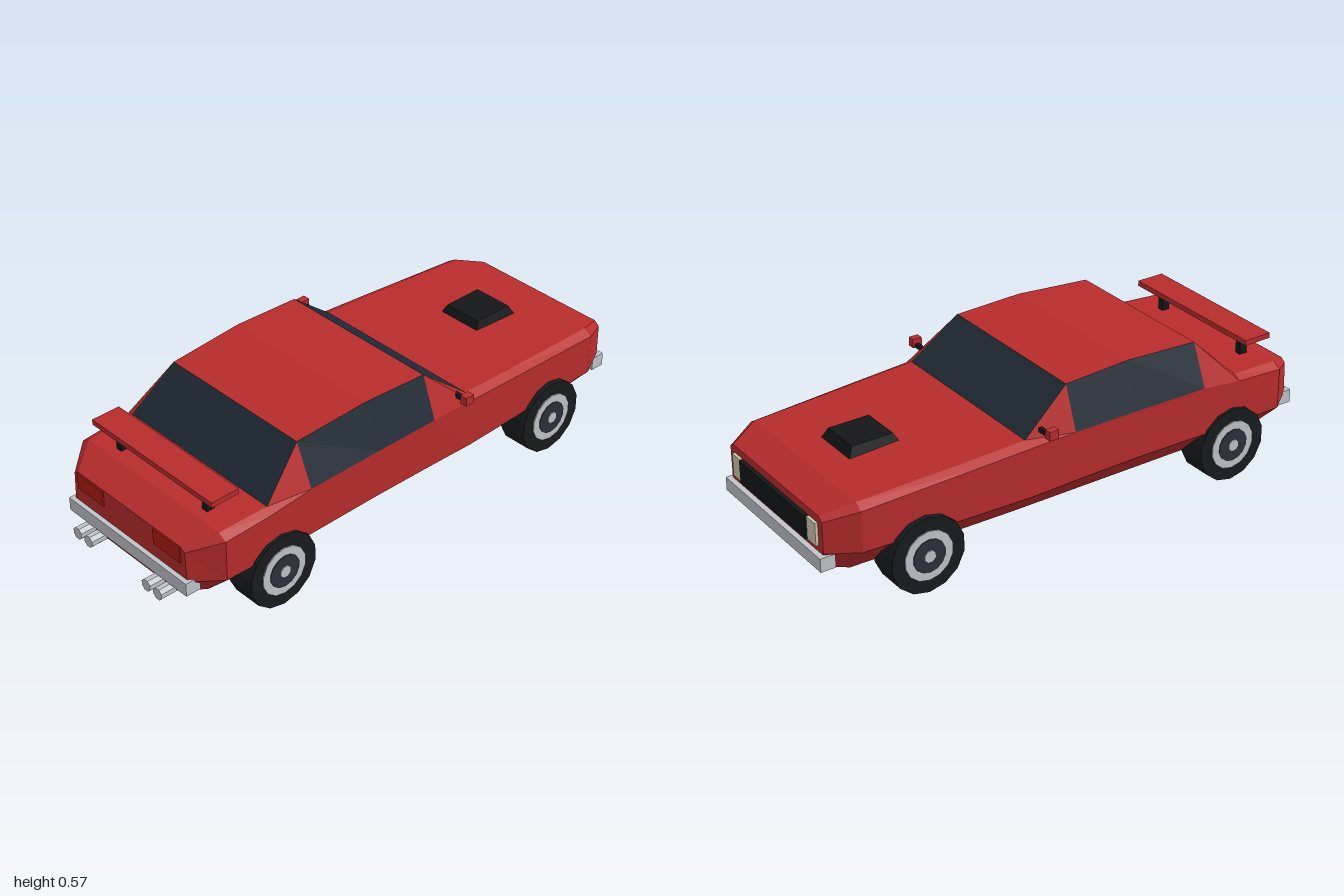
import * as THREE from 'three';

const mat = (color) => new THREE.MeshStandardMaterial({ color, flatShading: true });

// Body sections: z, then x,y of floor edge, crease, shoulder and top edge
const SECTIONS = [
  [-0.98, 0.24, 0.145, 0.30, 0.22, 0.30, 0.335, 0.28, 0.35],
  [-0.87, 0.27, 0.115, 0.357, 0.215, 0.357, 0.365, 0.325, 0.385],
  [-0.45, 0.27, 0.108, 0.372, 0.212, 0.372, 0.385, 0.34, 0.402],
  [-0.24, 0.27, 0.105, 0.377, 0.21, 0.378, 0.395, 0.345, 0.412],
  [-0.06, 0.27, 0.105, 0.378, 0.215, 0.38, 0.4, 0.322, 0.555],
  [0.2, 0.27, 0.105, 0.378, 0.218, 0.38, 0.4, 0.318, 0.565],
  [0.49, 0.27, 0.105, 0.375, 0.212, 0.377, 0.395, 0.31, 0.546],
  [0.65, 0.27, 0.105, 0.372, 0.21, 0.374, 0.375, 0.345, 0.39],
  [0.84, 0.265, 0.11, 0.368, 0.21, 0.368, 0.362, 0.335, 0.382],
  [0.94, 0.23, 0.142, 0.29, 0.21, 0.285, 0.325, 0.265, 0.338],
];

// Loft the sections, sorting the faces into paint, glass and floor
function buildBody(group, mats) {
  const rings = SECTIONS.map(([z, ...p]) => {
    const half = [0, 2, 4, 6].map((k) => [p[k], p[k + 1], z]);
    return [...half, ...half.slice().reverse().map(([x, y]) => [-x, y, z])];
  });
  const faces = { paint: [], glass: [], floor: [] };
  const kind = (s, i) => {
    if (i === 7) return 'floor';
    if (i === 3 && (s === 3 || s === 6)) return 'glass';
    if ((i === 2 || i === 4) && (s === 4 || s === 5)) return 'glass';
    return 'paint';
  };
  for (let s = 0; s < rings.length - 1; s++) {
    for (let i = 0; i < 8; i++) {
      const j = (i + 1) % 8;
      const a = rings[s][i], b = rings[s][j], c = rings[s + 1][j], d = rings[s + 1][i];
      faces[kind(s, i)].push(...a, ...b, ...c, ...a, ...c, ...d);
    }
  }
  const nose = rings[0], tail = rings[rings.length - 1];
  for (let i = 1; i < 7; i++) {
    faces.paint.push(...nose[0], ...nose[i + 1], ...nose[i]);
    faces.paint.push(...tail[0], ...tail[i], ...tail[i + 1]);
  }
  const parts = { paint: ['body', mats.red], glass: ['windows', mats.glass], floor: ['floor', mats.black] };
  for (const key in parts) {
    const geo = new THREE.BufferGeometry();
    geo.setAttribute('position', new THREE.Float32BufferAttribute(faces[key], 3));
    geo.computeVertexNormals();
    const mesh = new THREE.Mesh(geo, parts[key][1]);
    mesh.name = parts[key][0];
    group.add(mesh);
  }
}

export function createModel() {
  const car = new THREE.Group();
  car.name = 'car';
  const mats = {
    red: mat(0xb82c2c), glass: mat(0x202a34), black: mat(0x141618), tyre: mat(0x181b1d),
    chrome: mat(0xbfc3c8), rim: mat(0x2c303a), tail: mat(0xae1c14), lamp: mat(0xcfc8ae),
  };

  const add = (name, geo, material, x, y, z, parent = car) => {
    const mesh = new THREE.Mesh(geo, material);
    mesh.name = name;
    mesh.position.set(x, y, z);
    parent.add(mesh);
    return mesh;
  };
  // Box given by its limits
  const box = (name, material, x0, x1, y0, y1, z0, z1) =>
    add(name, new THREE.BoxGeometry(x1 - x0, y1 - y0, z1 - z0), material,
      (x0 + x1) / 2, (y0 + y1) / 2, (z0 + z1) / 2);
  // The same box on both sides
  const pair = (name, material, x0, x1, ...rest) => {
    box(name + 'Left', material, x0, x1, ...rest);
    box(name + 'Right', material, -x1, -x0, ...rest);
  };

  buildBody(car, mats);

  // Bumpers, grille and lamps
  box('noseBumper', mats.chrome, -0.313, 0.313, 0.165, 0.215, -1.0, -0.945);
  box('tailBumper', mats.chrome, -0.305, 0.305, 0.17, 0.22, 0.9, 0.957);
  box('grille', mats.black, -0.215, 0.215, 0.238, 0.322, -0.995, -0.97);
  pair('headlight', mats.lamp, 0.218, 0.272, 0.238, 0.322, -0.99, -0.97);
  pair('tailLight', mats.tail, 0.13, 0.265, 0.275, 0.335, 0.925, 0.945);

  // Rear wing on two posts
  box('wing', mats.red, -0.305, 0.305, 0.46, 0.48, 0.73, 0.84);
  pair('wingPost', mats.black, 0.208, 0.232, 0.37, 0.462, 0.77, 0.802);

  // Door mirrors
  pair('mirrorArm', mats.black, 0.35, 0.402, 0.43, 0.445, -0.19, -0.175);
  pair('mirror', mats.red, 0.398, 0.426, 0.43, 0.463, -0.198, -0.162);

  // Tapered bonnet scoop
  const scoop = new THREE.BoxGeometry(0.19, 0.05, 0.21);
  const pos = scoop.attributes.position;
  for (let i = 0; i < pos.count; i++) {
    if (pos.getY(i) > 0) pos.setXYZ(i, pos.getX(i) * 0.8, pos.getY(i), pos.getZ(i) * 0.74);
  }
  add('scoop', scoop, mats.black, 0, 0.4, -0.655);

  // Exhaust pipes
  for (const x of [-0.21, -0.152, 0.152, 0.21]) {
    const pipe = new THREE.CylinderGeometry(0.023, 0.023, 0.14, 8);
    pipe.rotateY(Math.PI / 8).rotateX(Math.PI / 2);
    add('exhaust', pipe, mats.chrome, x, 0.147, 0.93);
  }

  // Wheels: tyre, bright ring, dark rim and cap, each standing a little prouder
  const layers = [
    ['tyre', 0.14, 0.275, 0.385, mats.tyre, 14],
    ['wheelRing', 0.092, 0.28, 0.389, mats.chrome, 14],
    ['rim', 0.062, 0.28, 0.392, mats.rim, 14],
    ['hubCap', 0.023, 0.28, 0.396, mats.chrome, 8],
  ];
  for (const z of [-0.645, 0.62]) {
    for (const side of [1, -1]) {
      const wheel = new THREE.Group();
      wheel.name = (z < 0 ? 'noseWheel' : 'tailWheel') + (side > 0 ? 'Left' : 'Right');
      wheel.position.set(0, 0.138, z);
      for (const [name, r, x0, x1, material, n] of layers) {
        const disc = new THREE.CylinderGeometry(r, r, x1 - x0, n);
        disc.rotateY(Math.PI / n).rotateZ(Math.PI / 2);
        add(name, disc, material, side * (x0 + x1) / 2, 0, 0, wheel);
      }
      car.add(wheel);
    }
  }
  return car;
}
